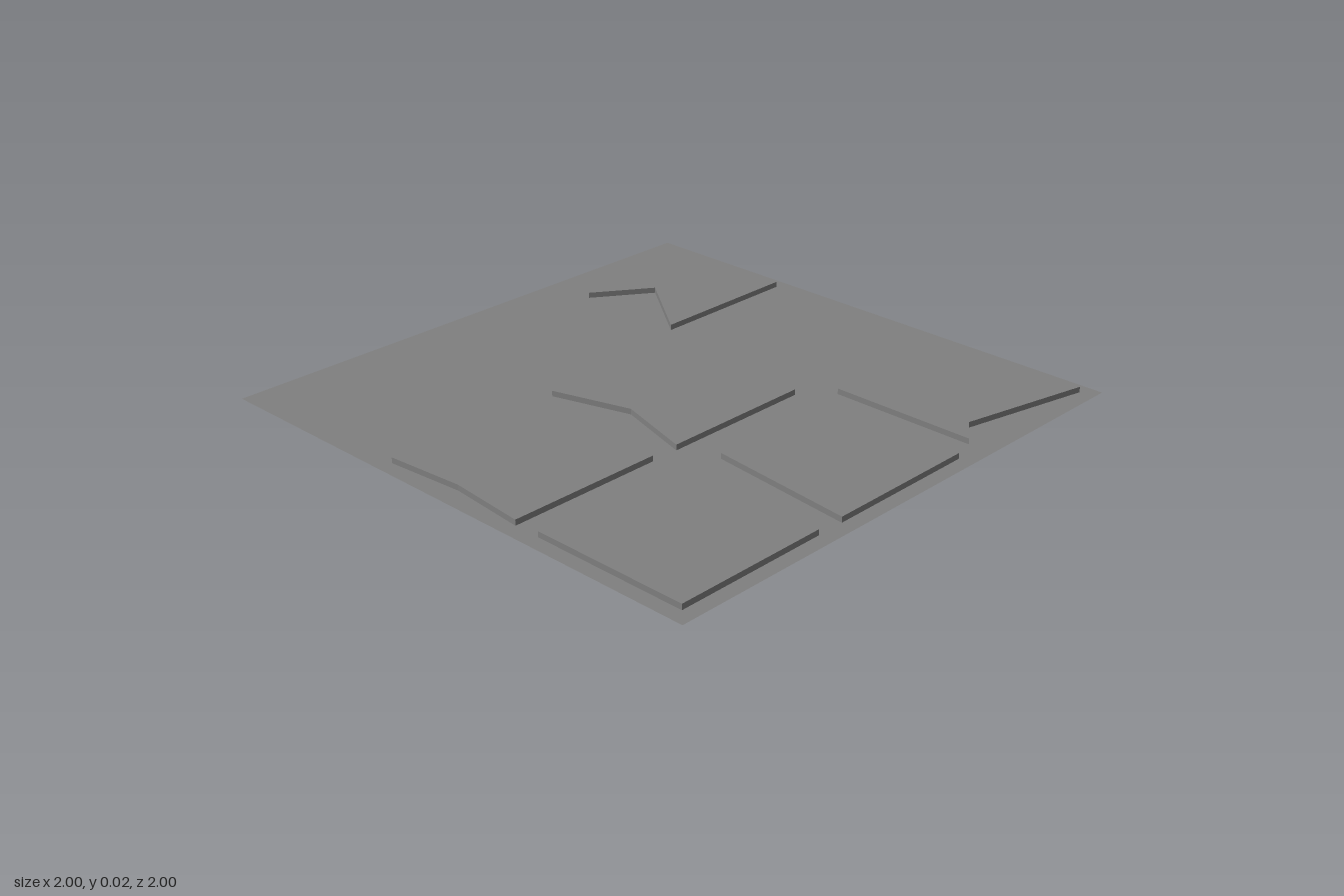
import * as THREE from 'three';

const HEIGHT = 0.02;

// Outlines of the raised slabs as [x, z], clockwise from above
const SLABS = {
  notchedSlab: [[-0.95, -0.95], [-0.385, -0.95], [-0.385, -0.385], [-0.67, -0.595], [-0.81, -0.39]],
  hookedSlab: [[0.38, -0.95], [0.945, -0.95], [0.84, -0.48], [0.91, -0.385], [0.38, -0.385]],
  centreSlab: [[-0.283, -0.283], [0.1, -0.23], [0.283, -0.283], [0.283, 0.28], [0, 0.197], [-0.283, 0.28]],
  skewedSlab: [[0.385, -0.283], [0.947, -0.283], [0.947, 0.28], [0.42, 0.225]],
  dentedSlab: [[-0.283, 0.383], [-0.2, 0.45], [0.283, 0.383], [0.283, 0.947], [0, 0.922], [-0.283, 0.947]],
  squareSlab: [[0.38, 0.383], [0.947, 0.383], [0.947, 0.947], [0.38, 0.947]],
};

const toPoints = (outline) => outline.map(([x, z]) => new THREE.Vector2(x, -z));

// Flat horizontal face at height y
function flatFace(shape, y) {
  return new THREE.ShapeGeometry(shape).rotateX(-Math.PI / 2).translate(0, y, 0);
}

// Upright walls following an outline, open above and below
function wallStrip(outline) {
  const positions = [];
  outline.forEach(([ax, az], i) => {
    const [bx, bz] = outline[(i + 1) % outline.length];
    positions.push(
      ax, 0, az, ax, HEIGHT, az, bx, HEIGHT, bz,
      ax, 0, az, bx, HEIGHT, bz, bx, 0, bz,
    );
  });
  const geometry = new THREE.BufferGeometry();
  geometry.setAttribute('position', new THREE.Float32BufferAttribute(positions, 3));
  geometry.computeVertexNormals();
  return geometry;
}

export function createModel() {
  const model = new THREE.Group();
  model.name = 'slabPanel';
  const grey = new THREE.MeshStandardMaterial({ color: 0x808080, side: THREE.DoubleSide });
  grey.name = 'grey';

  const add = (parent, geometry, name) => {
    const mesh = new THREE.Mesh(geometry, grey);
    mesh.name = name;
    parent.add(mesh);
  };

  // Thin ground sheet, open beneath each hollow slab
  const sheet = new THREE.Shape(toPoints([[-1, -1], [1, -1], [1, 1], [-1, 1]]));
  for (const outline of Object.values(SLABS)) sheet.holes.push(new THREE.Path(toPoints(outline)));
  add(model, flatFace(sheet, 0), 'groundSheet');

  // Raised slabs: top face and side walls
  for (const [name, outline] of Object.entries(SLABS)) {
    const slab = new THREE.Group();
    slab.name = name;
    add(slab, flatFace(new THREE.Shape(toPoints(outline)), HEIGHT), 'topFace');
    add(slab, wallStrip(outline), 'sideWalls');
    model.add(slab);
  }
  return model;
}
